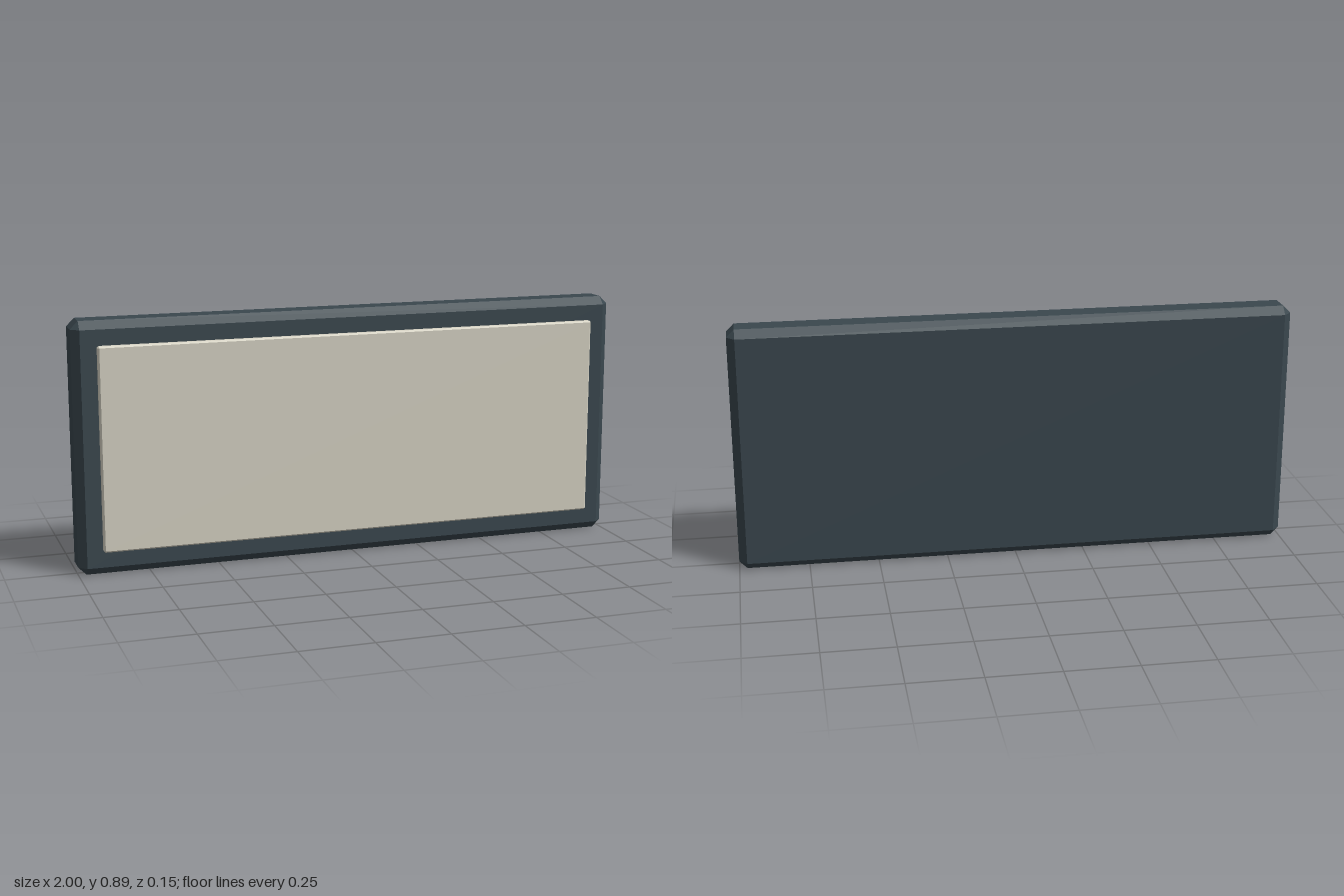
import * as THREE from 'three';
import { ConvexGeometry } from 'three/addons/geometries/ConvexGeometry.js';

// Box with every edge and corner bevelled flat by c
function chamferBox(w, h, d, c) {
  const half = [w / 2, h / 2, d / 2];
  const points = [];
  for (const sx of [-1, 1]) for (const sy of [-1, 1]) for (const sz of [-1, 1]) {
    for (let axis = 0; axis < 3; axis++) {
      // One point per face meeting at this corner
      const p = half.map((v, i) => (i === axis ? v : v - c));
      points.push(new THREE.Vector3(p[0] * sx, p[1] * sy, p[2] * sz));
    }
  }
  return new ConvexGeometry(points);
}

export function createModel() {
  const model = new THREE.Group();
  model.name = 'framedPanel';

  const slate = new THREE.MeshStandardMaterial({ color: 0x3a474e });
  slate.name = 'dark slate';
  const ivory = new THREE.MeshStandardMaterial({ color: 0xd5d1c2 });
  ivory.name = 'warm ivory';

  const add = (name, geometry, material, y, z) => {
    const mesh = new THREE.Mesh(geometry, material);
    mesh.name = name;
    mesh.position.set(0, y, z);
    model.add(mesh);
  };

  // Heavy bevelled backing slab
  add('backing', chamferBox(2, 0.889, 0.133, 0.028), slate, 0.4445, -0.0105);
  // Raised face plate, seated slightly into the slab
  add('facePlate', chamferBox(1.832, 0.72, 0.033, 0.0055), ivory, 0.4455, 0.061);

  return model;
}
